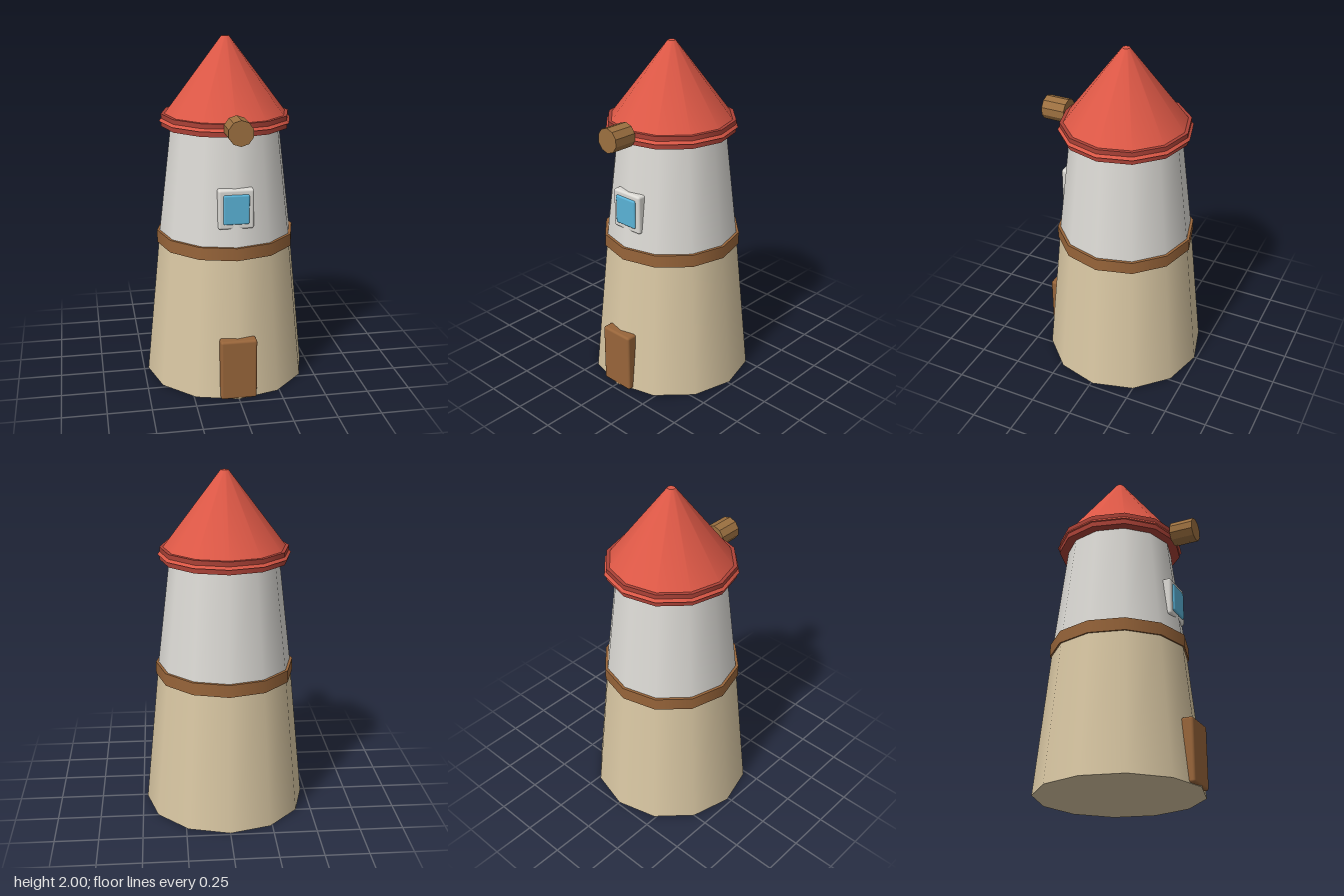
import * as THREE from 'three';
import { RoundedBoxGeometry } from 'three/addons/geometries/RoundedBoxGeometry.js';

const SIDES = 12;

function material(name, color, flatShading = false) {
  const m = new THREE.MeshStandardMaterial({ color, flatShading });
  m.name = name;
  return m;
}

export function createModel() {
  const model = new THREE.Group();
  model.name = 'windmillTower';

  const stone = material('sandStone', 0xd9c7a3);
  const plaster = material('whitePlaster', 0xdcdad5);
  const wood = material('brownWood', 0x98653a);
  const hubWood = material('hubWood', 0x9c7040, true);
  const roofRed = material('roofRed', 0xdd5846);
  const eaveRed = material('eaveRed', 0xac4237);
  const glass = material('blueGlass', 0x5ab2d6);

  // The tower sits slightly behind the centre because the hub sticks out in front
  const tower = new THREE.Group();
  tower.name = 'tower';
  tower.position.z = -0.012;
  model.add(tower);

  // Twelve-sided ring or frustum between two heights
  function drum(name, mat, y0, y1, r0, r1) {
    const mesh = new THREE.Mesh(new THREE.CylinderGeometry(r1, r0, y1 - y0, SIDES), mat);
    mesh.name = name;
    mesh.position.y = (y0 + y1) / 2;
    tower.add(mesh);
  }
  drum('lowerWall', stone, 0, 0.85, 0.475, 0.39);
  drum('upperWall', plaster, 0.85, 1.53, 0.391, 0.31);
  drum('middleBand', wood, 0.812, 0.885, 0.403, 0.403);
  drum('eaveBand', eaveRed, 1.5, 1.572, 0.367, 0.367);
  drum('roofCone', roofRed, 1.53, 2, 0.379, 0.022);

  // Chamfered box given by its extents; x is symmetric
  function block(name, mat, halfX, y0, y1, z0, z1, bevel) {
    const geo = new RoundedBoxGeometry(2 * halfX, y1 - y0, z1 - z0, 2, bevel);
    const mesh = new THREE.Mesh(geo, mat);
    mesh.name = name;
    mesh.position.set(0, (y0 + y1) / 2, (z0 + z1) / 2);
    model.add(mesh);
  }
  block('door', wood, 0.104, 0.003, 0.36, 0.395, 0.465, 0.014);
  block('windowFrame', plaster, 0.1, 0.985, 1.212, 0.29, 0.357, 0.014);
  block('windowPane', glass, 0.073, 1.015, 1.183, 0.32, 0.368, 0.01);

  // Hub pointing forward from the roof edge
  const hub = new THREE.Mesh(new THREE.CylinderGeometry(0.07, 0.07, 0.14, 10), hubWood);
  hub.name = 'hub';
  hub.rotation.x = Math.PI / 2;
  hub.position.set(0, 1.55, 0.415);
  model.add(hub);

  return model;
}
